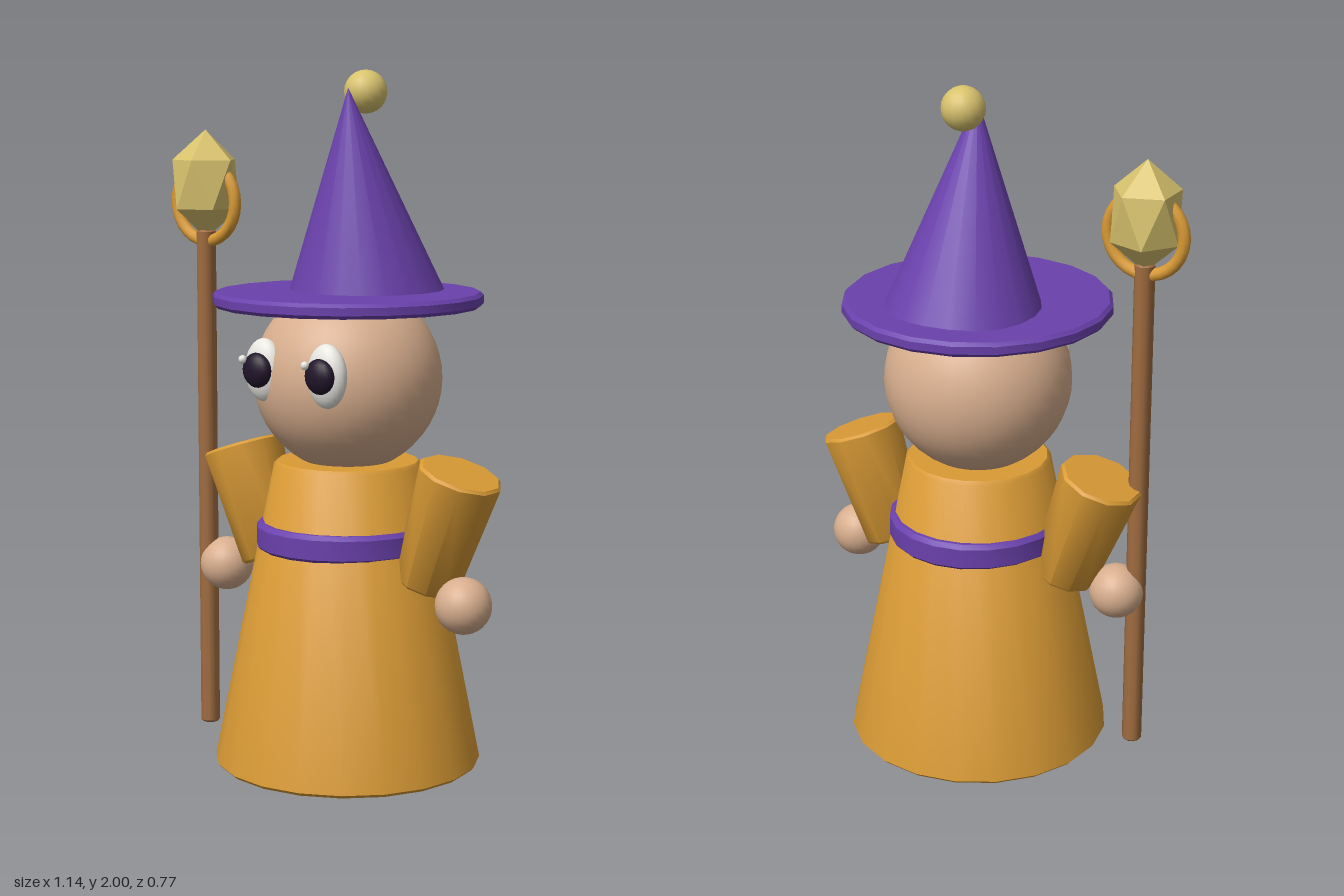
import * as THREE from 'three';
import { toCreasedNormals } from 'three/addons/utils/BufferGeometryUtils.js';

const mat = (name, color, extra = {}) =>
  Object.assign(new THREE.MeshStandardMaterial({ color, ...extra }), { name });

export function createModel() {
  const robe = mat('robe orange', 0xd99a35);
  const purple = mat('hat purple', 0x6a41ac);
  const skin = mat('skin', 0xd8ae8e);
  const gold = mat('pale gold', 0xd8c26e);
  const crystalGold = mat('crystal gold', 0xd8c26e, { flatShading: true });
  const wood = mat('staff wood', 0xa06c40);
  const white = mat('eye white', 0xe9e8e2);
  const dark = mat('pupil dark', 0x20142a);

  const group = new THREE.Group();
  const CX = 0.05; // the figure stands beside the staff

  const add = (name, geo, material, x, y, z) => {
    const mesh = new THREE.Mesh(geo, material);
    mesh.name = name;
    mesh.position.set(x, y, z);
    group.add(mesh);
    return mesh;
  };

  // Closed tapered drum with chamfered rims, standing on its local y = 0
  const drum = (rBottom, rTop, h, segments, c) => {
    const profile = [
      [0, 0], [rBottom - c, 0], [rBottom, c],
      [rTop, h - c], [rTop - c, h], [0, h],
    ].map(([x, y]) => new THREE.Vector2(x, y));
    return toCreasedNormals(new THREE.LatheGeometry(profile, segments), 0.7);
  };
  const ball = (r, w = 24, h = 16) => new THREE.SphereGeometry(r, w, h);

  // Robe, belt and head
  add('robe', drum(0.387, 0.213, 0.89, 20, 0.01), robe, CX, 0, 0);
  add('belt', drum(0.27, 0.27, 0.08, 20, 0.012), purple, CX, 0.635, 0).scale.x = 0.965;
  add('head', ball(0.271, 32, 24), skin, CX, 1.13, 0);

  // Hat: flat brim, cone leaning forward, ball behind the tip
  add('hatBrim', drum(0.387, 0.387, 0.042, 20, 0.01), purple, CX, 1.335, 0);
  const cone = toCreasedNormals(new THREE.ConeGeometry(0.23, 0.6, 20), 0.7);
  add('hatCone', cone, purple, CX, 1.652, -0.04).rotation.x = 0.134;
  add('hatBall', ball(0.062, 16, 12), gold, CX, 1.938, -0.08);

  for (const s of [1, -1]) {
    const side = s > 0 ? 'left' : 'right';

    // Sleeves widen upwards and lean out, hands float at the lower end
    const arm = add(side + 'Sleeve', drum(0.095, 0.122, 0.35, 10, 0.008), robe,
      CX + s * 0.283, 0.565, 0);
    arm.rotation.z = -s * 0.34;
    add(side + 'Hand', ball(0.08), skin, CX + s * 0.437, 0.53, 0.035);

    // Eyes
    const ex = CX + s * 0.113;
    const eye = add(side + 'Eye', ball(1), white, ex, 1.165, 0.235);
    eye.scale.set(0.064, 0.09, 0.04);
    const pupil = add(side + 'Pupil', ball(1, 16, 12), dark, ex, 1.167, 0.265);
    pupil.scale.set(0.049, 0.05, 0.03);
    add(side + 'EyeGlint', ball(0.012, 10, 8), white, ex - 0.036, 1.197, 0.287);
  }

  // Staff with ring and faceted crystal
  const SX = -0.437, SZ = 0.06;
  add('staff', drum(0.029, 0.029, 1.5, 10, 0.006), wood, SX, 0.035, SZ);
  add('staffRing', new THREE.TorusGeometry(0.114, 0.018, 10, 28), robe, SX, 1.615, SZ);
  const gem = new THREE.IcosahedronGeometry(0.11, 0);
  gem.rotateX(-Math.atan((1 + Math.sqrt(5)) / 2)); // one corner straight up
  gem.rotateY(0.3);
  gem.scale(1, 1.45, 1);
  add('staffCrystal', gem, crystalGold, SX, 1.668, SZ);

  return group;
}
